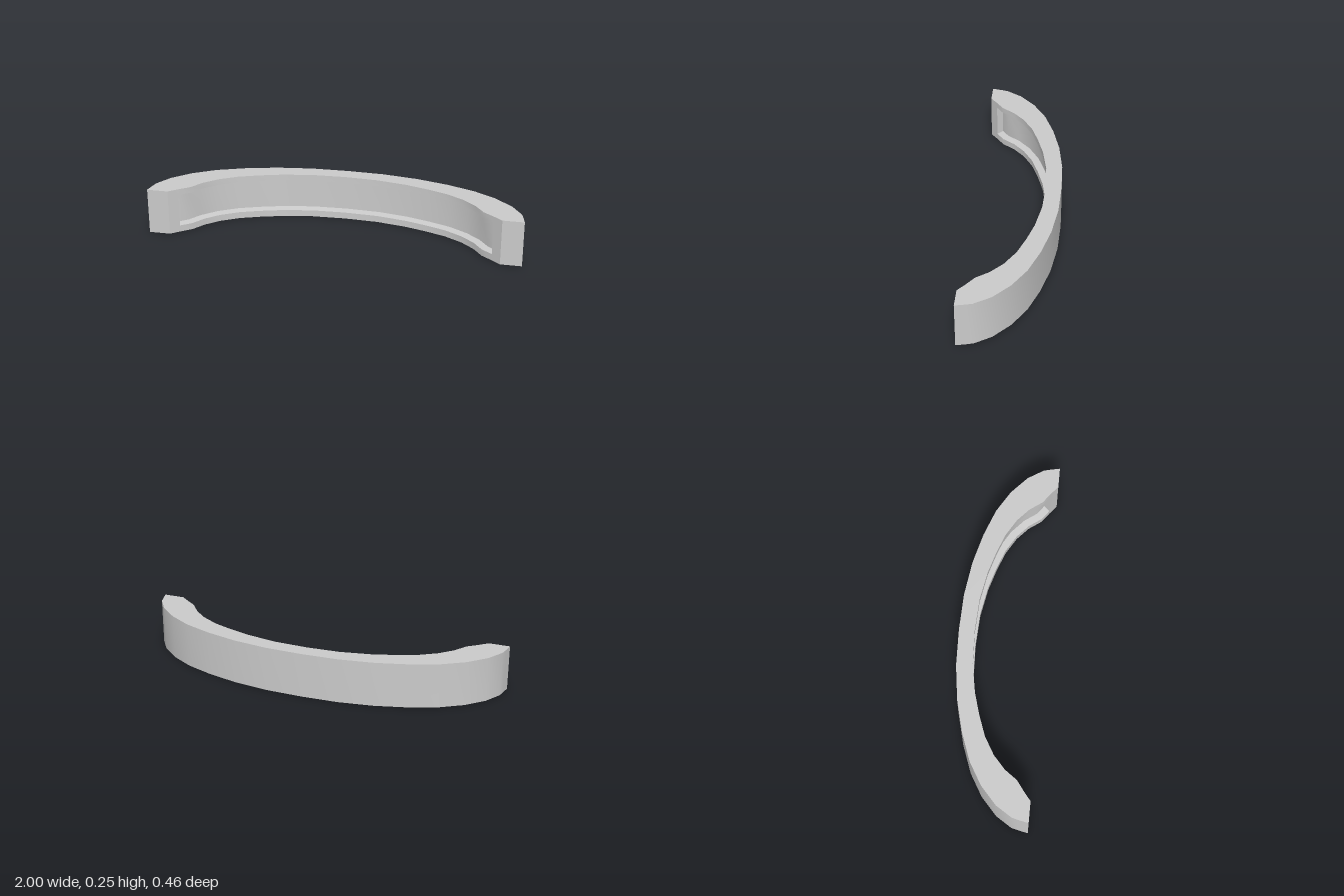
import * as THREE from 'three';
import { toCreasedNormals } from 'three/addons/utils/BufferGeometryUtils.js';

const HEIGHT = 0.25;
const DEPTH = 0.04;            // groove depth
const LIP = [0.217, 0.036];    // groove opening, top and bottom
const BACK = [0.208, 0.042];   // groove back wall, top and bottom

// Half outline from the middle to the +x tip: outer x, z, inner x, z
const HALF = [
  [0, -0.23, 0, -0.146],
  [0.2, -0.224, 0.18, -0.138],
  [0.39, -0.198, 0.34, -0.11],
  [0.56, -0.155, 0.46, -0.075],
  [0.71, -0.1, 0.57, -0.035],
  [0.83, -0.03, 0.665, 0.02],
  [0.925, 0.055, 0.735, 0.082],
  [0.98, 0.14, 0.785, 0.15],
  [0.99, 0.18, 0.84, 0.19],
  [1, 0.228, 0.887, 0.228],
];

// Mirror the half outline into a full run of stations from -x to +x
function outline() {
  const left = HALF.slice(1).reverse().map(([a, b, c, d]) => [-a, b, -c, d]);
  return [...left, ...HALF];
}

// Cross-section loop; grooved sections step back into the bar
function section(stations, i, grooved) {
  const [ox, oz, ix, iz] = stations[i];
  const p = stations[Math.max(i - 1, 0)];
  const n = stations[Math.min(i + 1, stations.length - 1)];
  const tangent = new THREE.Vector2(n[2] - p[2], n[3] - p[3]).normalize();
  const depth = grooved ? DEPTH : 0;
  const bx = ix + tangent.y * depth;
  const bz = iz - tangent.x * depth;
  const [backTop, backBottom] = grooved ? BACK : LIP;
  return [
    [ox, 0, oz], [ox, HEIGHT, oz],
    [ix, HEIGHT, iz], [ix, LIP[0], iz],
    [bx, backTop, bz], [bx, backBottom, bz],
    [ix, LIP[1], iz], [ix, 0, iz],
  ].map((v) => new THREE.Vector3(...v));
}

function barGeometry() {
  const stations = outline();
  const last = stations.length - 1;
  const sections = [];
  stations.forEach((_, i) => {
    const plain = section(stations, i, false);
    const grooved = section(stations, i, true);
    if (i === 0 || i === last) sections.push(plain);
    else if (i === 1) sections.push(plain, grooved);          // groove end wall
    else if (i === last - 1) sections.push(grooved, plain);   // groove end wall
    else sections.push(grooved);
  });

  const positions = [];
  const tri = (a, b, c) => {
    if (new THREE.Triangle(a, b, c).getArea() < 1e-7) return;
    for (const v of [a, b, c]) positions.push(v.x, v.y, v.z);
  };
  const quad = (a, b, c, d) => { tri(a, b, c); tri(a, c, d); };

  // Skin between neighbouring sections
  for (let s = 0; s < sections.length - 1; s++) {
    const A = sections[s], B = sections[s + 1];
    for (let k = 0; k < 8; k++) {
      const m = (k + 1) % 8;
      quad(A[k], A[m], B[m], B[k]);
    }
  }

  // Flat tips
  const S = sections[0], E = sections[sections.length - 1];
  quad(S[0], S[7], S[2], S[1]);
  quad(E[0], E[1], E[2], E[7]);

  const geometry = new THREE.BufferGeometry();
  geometry.setAttribute('position', new THREE.Float32BufferAttribute(positions, 3));
  return toCreasedNormals(geometry, 0.5);
}

export function createModel() {
  const model = new THREE.Group();
  model.name = 'curvedHandle';
  const bar = new THREE.Mesh(barGeometry(), new THREE.MeshStandardMaterial({ color: 0xcccccc }));
  bar.name = 'groovedBar';
  model.add(bar);
  return model;
}
